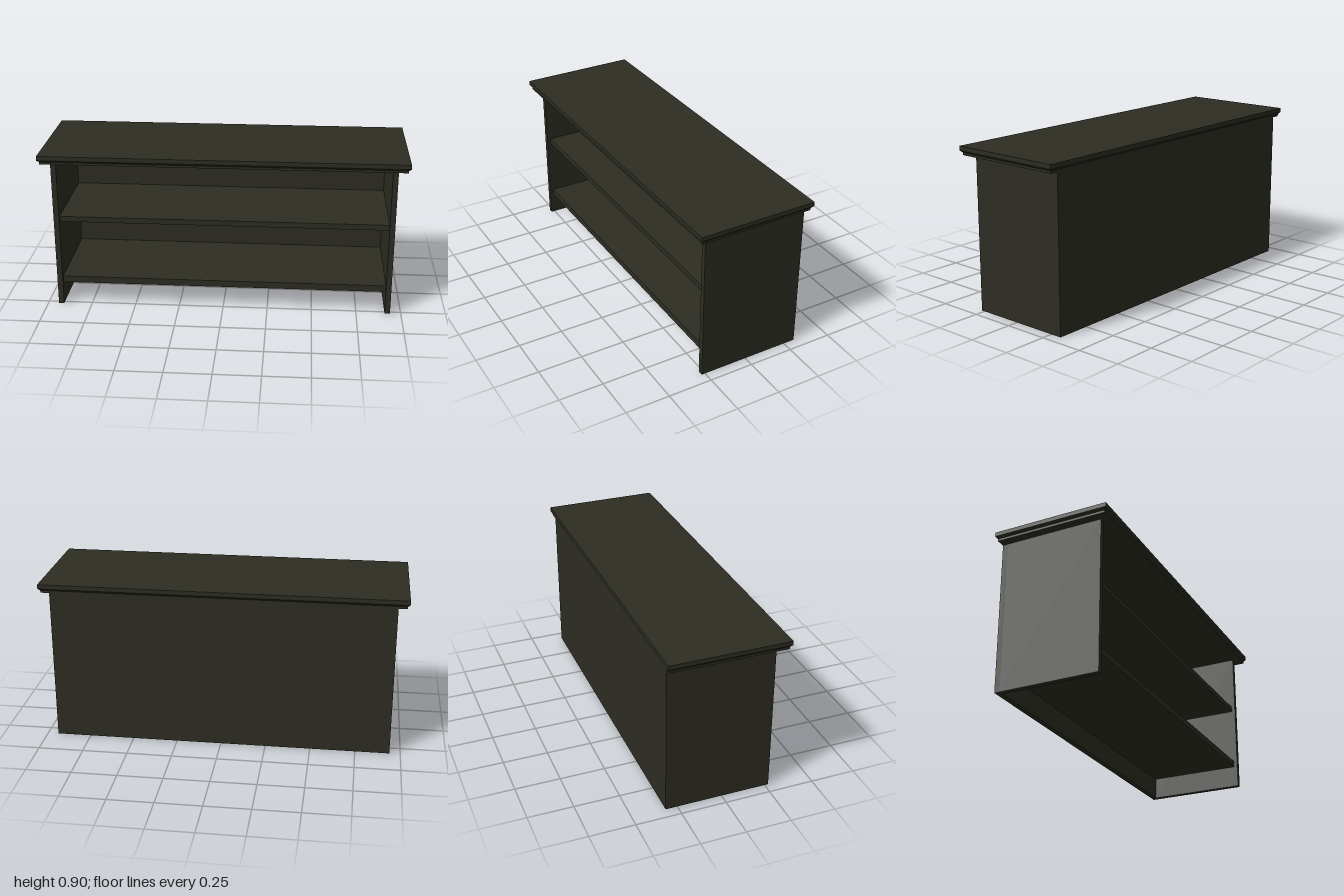
import * as THREE from 'three';

export function createModel() {
  const group = new THREE.Group();
  const wood = new THREE.MeshStandardMaterial({ color: 0x2d2d23 });
  wood.name = 'dark olive wood';

  // Box given by its minimum and maximum corners
  function board(name, [x0, y0, z0], [x1, y1, z1]) {
    const mesh = new THREE.Mesh(new THREE.BoxGeometry(x1 - x0, y1 - y0, z1 - z0), wood);
    mesh.position.set((x0 + x1) / 2, (y0 + y1) / 2, (z0 + z1) / 2);
    mesh.name = name;
    group.add(mesh);
    return mesh;
  }

  const outer = 0.94, inner = 0.91, bodyTop = 0.855;
  const back = -0.315, backInner = -0.285, front = 0.27;

  // Carcass: side panels and full-width back
  board('leftSide', [inner, 0, backInner], [outer, bodyTop, front]);
  board('rightSide', [-outer, 0, backInner], [-inner, bodyTop, front]);
  board('backPanel', [-outer, 0, back], [outer, bodyTop, backInner]);

  // Slightly recessed shelves
  board('bottomShelf', [-inner, 0.125, backInner], [inner, 0.162, 0.25]);
  board('middleShelf', [-inner, 0.497, backInner], [inner, 0.528, 0.25]);

  // Top: lip, bevelled moulding and overhanging slab
  const inset = 0.012;
  board('topLip', [-1 + inset, bodyTop, -0.328 + inset], [1 - inset, 0.868, 0.328 - inset]);
  const bevel = board('topMoulding', [-1, 0.868, -0.328], [1, 0.88, 0.328]);
  const p = bevel.geometry.attributes.position;
  for (let i = 0; i < p.count; i++) {
    if (p.getY(i) < 0) {
      p.setX(i, p.getX(i) - Math.sign(p.getX(i)) * inset);
      p.setZ(i, p.getZ(i) - Math.sign(p.getZ(i)) * inset);
    }
  }
  bevel.geometry.computeVertexNormals();
  board('topSlab', [-1, 0.88, -0.328], [1, 0.904, 0.328]);

  return group;
}
